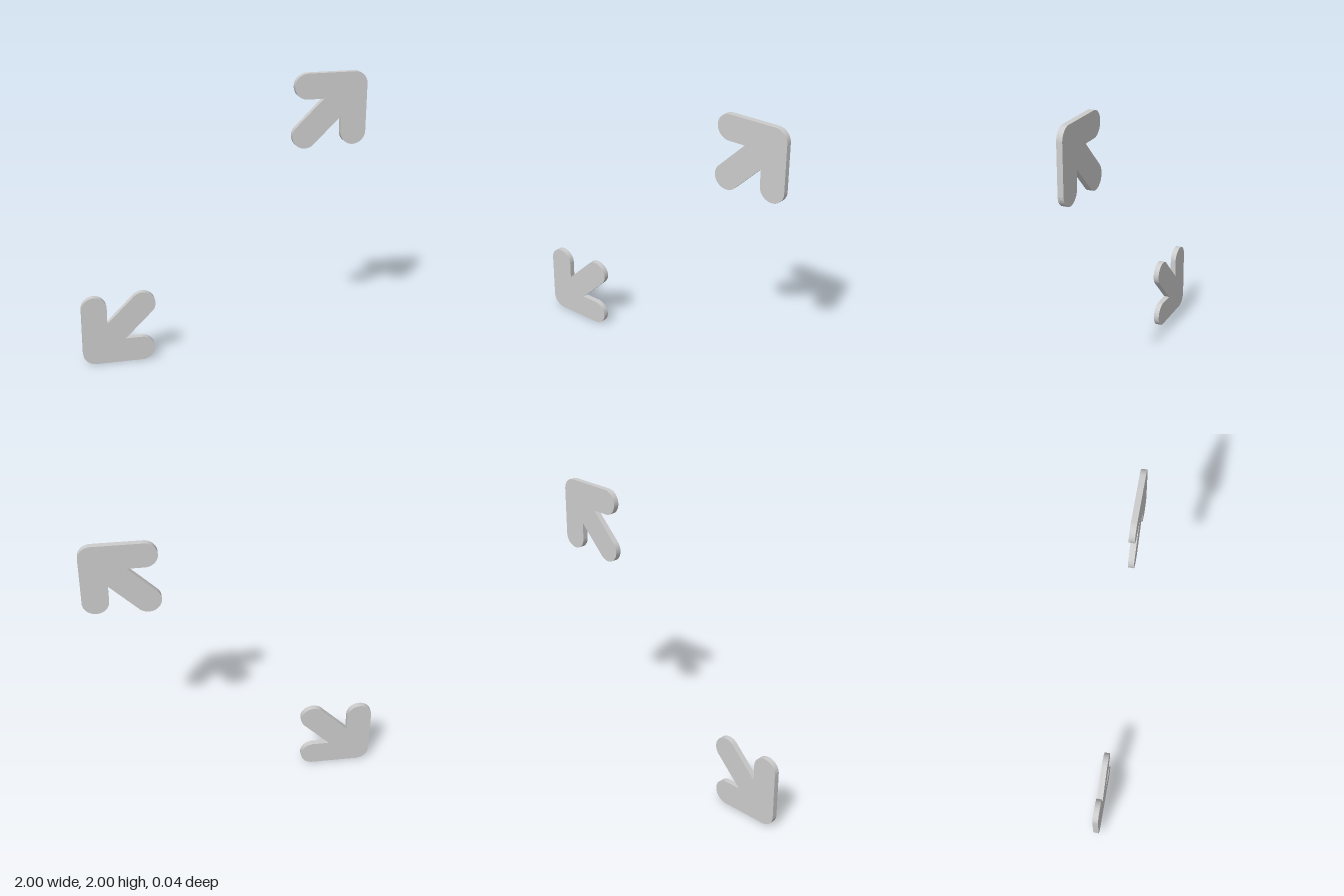
import * as THREE from 'three';
import { toCreasedNormals } from 'three/addons/utils/BufferGeometryUtils.js';

const R = 0.0885;      // half width of every bar
const ARM = 0.507;     // length of each head arm
const TAIL = 0.43;     // offset of the shaft's rounded end from the tip corner
const DEPTH = 0.04;

// Arrow outline with its tip corner at the origin, pointing to +x +y
function arrowShape() {
  const s = new THREE.Shape();
  const arc = (x, y, from, to) =>
    s.absarc(x, y, R, THREE.MathUtils.degToRad(from), THREE.MathUtils.degToRad(to), false);
  const notch = 2 * R + R * Math.SQRT2;
  arc(-R, -R, 0, 90);               // rounded tip
  arc(-ARM + R, -R, 90, 270);       // end of horizontal arm
  s.lineTo(-notch, -2 * R);         // inner corner
  arc(-TAIL, -TAIL, 135, 315);      // end of diagonal shaft
  s.lineTo(-2 * R, -notch);         // inner corner
  arc(-R, -ARM + R, 180, 360);      // end of vertical arm
  s.closePath();
  return s;
}

export function createModel() {
  const group = new THREE.Group();
  group.name = 'expandArrows';
  const material = new THREE.MeshStandardMaterial({ color: 0xcccccc });

  let geometry = new THREE.ExtrudeGeometry(arrowShape(), {
    depth: DEPTH, bevelEnabled: false, curveSegments: 24,
  });
  geometry.translate(0, 0, -DEPTH / 2);
  geometry = toCreasedNormals(geometry, Math.PI / 6);

  // Two identical arrows pointing to opposite corners
  const upper = new THREE.Mesh(geometry, material);
  upper.name = 'upperArrow';
  upper.position.set(1, 2, 0);

  const lower = new THREE.Mesh(geometry, material);
  lower.name = 'lowerArrow';
  lower.position.set(-1, 0, 0);
  lower.rotation.z = Math.PI;

  group.add(upper, lower);
  return group;
}
